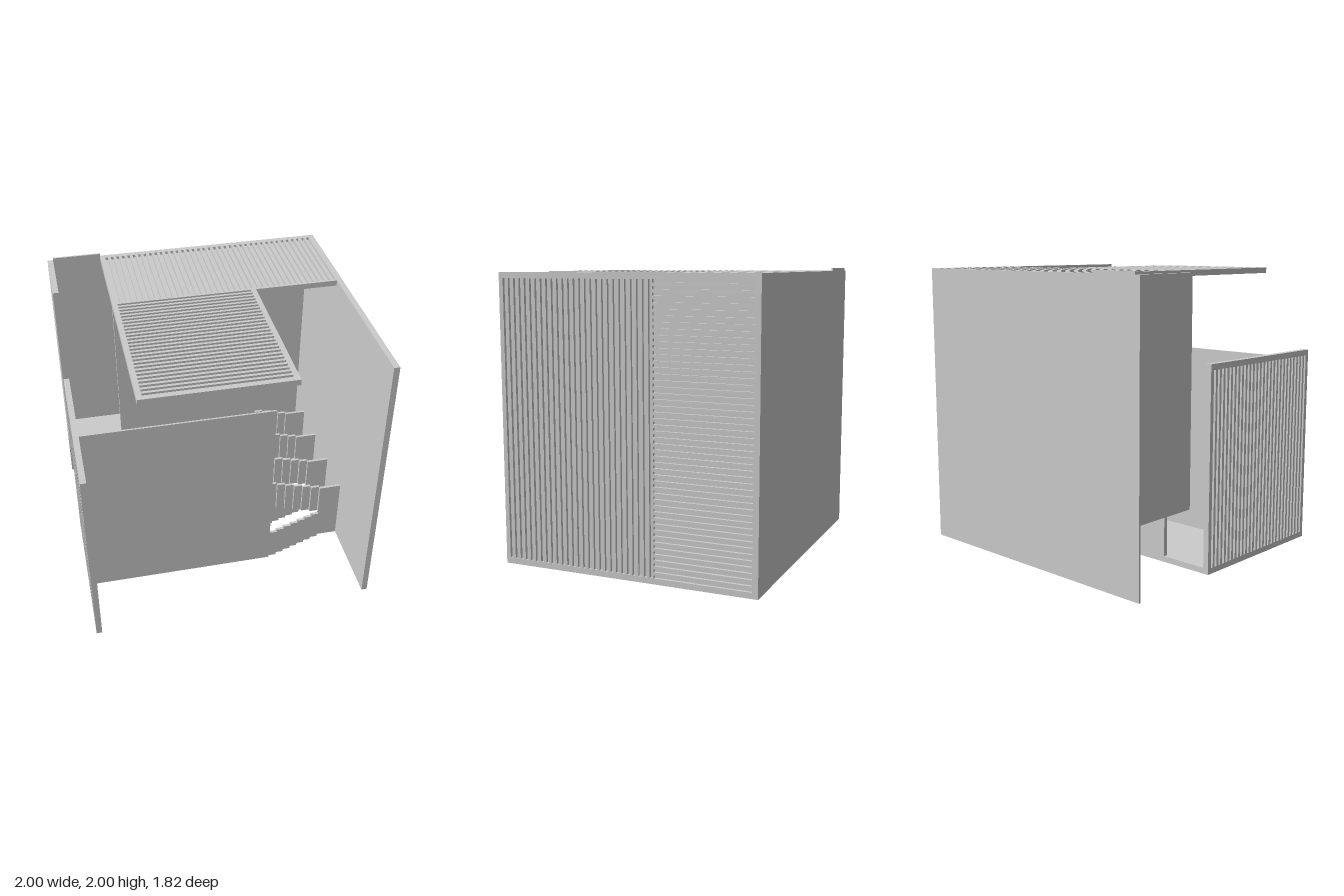
import * as THREE from 'three';

const material = new THREE.MeshStandardMaterial({ color: 0xcccccc, flatShading: true, side: THREE.DoubleSide });
const THICK = 0.04, GROOVE = 0.02;

// Box given by its min and max on each axis
function slab(name, x0, x1, y0, y1, z0, z1) {
  const mesh = new THREE.Mesh(new THREE.BoxGeometry(x1 - x0, y1 - y0, z1 - z0), material);
  mesh.name = name;
  mesh.position.set((x0 + x1) / 2, (y0 + y1) / 2, (z0 + z1) / 2);
  return mesh;
}

function rectangle(target, u0, v0, u1, v1) {
  target.moveTo(u0, v0);
  target.lineTo(u1, v0);
  target.lineTo(u1, v1);
  target.lineTo(u0, v1);
  target.closePath();
  return target;
}

// Evenly spaced slots filling an area; 'upright' slots run along v
function slots(u0, v0, u1, v1, count, upright) {
  const pitch = ((upright ? u1 - u0 : v1 - v0) + 0.02) / count;
  return Array.from({ length: count }, (_, i) => {
    const a = i * pitch, b = a + pitch - 0.02;
    return upright
      ? rectangle(new THREE.Path(), u0 + a, v0, u0 + b, v1)
      : rectangle(new THREE.Path(), u0, v0 + a, u1, v0 + b);
  });
}

// Slab lying in the u-v plane with grooves in its outer face at height 'outer'
function groovedPanel(name, [u0, v0, u1, v1], outer, holes) {
  const group = new THREE.Group();
  group.name = name;
  const shape = rectangle(new THREE.Shape(), u0, v0, u1, v1);
  shape.holes.push(...holes);
  const grille = new THREE.Mesh(
    new THREE.ExtrudeGeometry(shape, { depth: GROOVE, bevelEnabled: false }), material);
  grille.name = name + 'Grille';
  grille.position.z = outer - GROOVE;
  group.add(grille, slab(name + 'Backing', u0, u1, v0, v1, outer - THICK, outer - GROOVE));
  return group;
}

// One folded flight pair around a shared landing
function stair(apex) {
  const group = new THREE.Group();
  group.name = 'stair';
  const start = 0.375, end = 0.8, steps = 7, half = 0.01;
  const run = (end - start) / steps;
  group.add(slab('landing', end, 0.96, 0, 0.48, apex - half, apex + half));
  for (let k = 1; k <= steps; k++) {
    const x1 = end - (k - 1) * run, rise = k * 0.0207;
    group.add(
      slab('lowerStep', x1 - run, x1, 0, 0.24, apex + rise - half, apex + rise + half),
      slab('upperStep', x1 - run, x1, 0.24, 0.48, apex - rise - half, apex - rise + half));
  }
  return group;
}

export function createModel() {
  const model = new THREE.Group();
  model.name = 'building';

  // Full-height side wall: u = -z, v = y
  const sideWall = groovedPanel('sideWall', [-0.91, 0, 0.91, 1.98], 1, [
    ...slots(-0.88, 0.04, 0.197, 1.94, 27, true),
    ...slots(0.205, 0.04, 0.87, 1.94, 48, false),
  ]);
  sideWall.rotation.y = Math.PI / 2;

  // Lower wall on the opposite side: u = z, v = y
  const lowWall = groovedPanel('lowWall', [-0.23, 0, 0.91, 1.4], 1,
    slots(-0.2, 0.04, 0.88, 1.36, 27, true));
  lowWall.rotation.y = -Math.PI / 2;

  // Two roof areas: u = x, v = -z
  const roofBack = groovedPanel('roofBack', [-0.62, 0.197, 0.96, 0.91], 1.98,
    slots(-0.585, 0.215, 0.955, 0.87, 39, true));
  const roofFront = groovedPanel('roofFront', [-0.62, -0.91, 0.375, 0.197], 1.98,
    slots(-0.585, -0.87, 0.34, 0.195, 27, false));
  roofBack.rotation.x = roofFront.rotation.x = -Math.PI / 2;

  // Base with grooves underneath: u = x, v = z
  const base = groovedPanel('base', [-0.96, -0.23, 0.2, 0.43], 0,
    slots(-0.93, -0.2, 0.17, 0.4, 15, false));
  base.rotation.x = Math.PI / 2;

  model.add(sideWall, lowWall, roofBack, roofFront, base);

  // Plain walls
  model.add(
    slab('backWall', -1, 0.96, 0, 1.98, -0.91, -0.897),
    slab('backWallTop', -0.96, -0.62, 1.98, 2, -0.91, -0.897),
    slab('frontPanel', -0.96, 0.375, 0, 1.4, 0.43, 0.443),
    slab('middleWall', -0.62, 0.4, 0, 1.94, -0.23, -0.2),
    slab('upperSideWall', -1, -0.96, 0.49, 1.98, -0.897, -0.43),
    slab('upperFloor', -0.96, 0.375, 0.49, 0.53, -0.897, -0.43));

  // Stack of folded stairs
  for (let i = 0; i < 4; i++) model.add(stair(0.273 - i * 0.317));

  return model;
}
